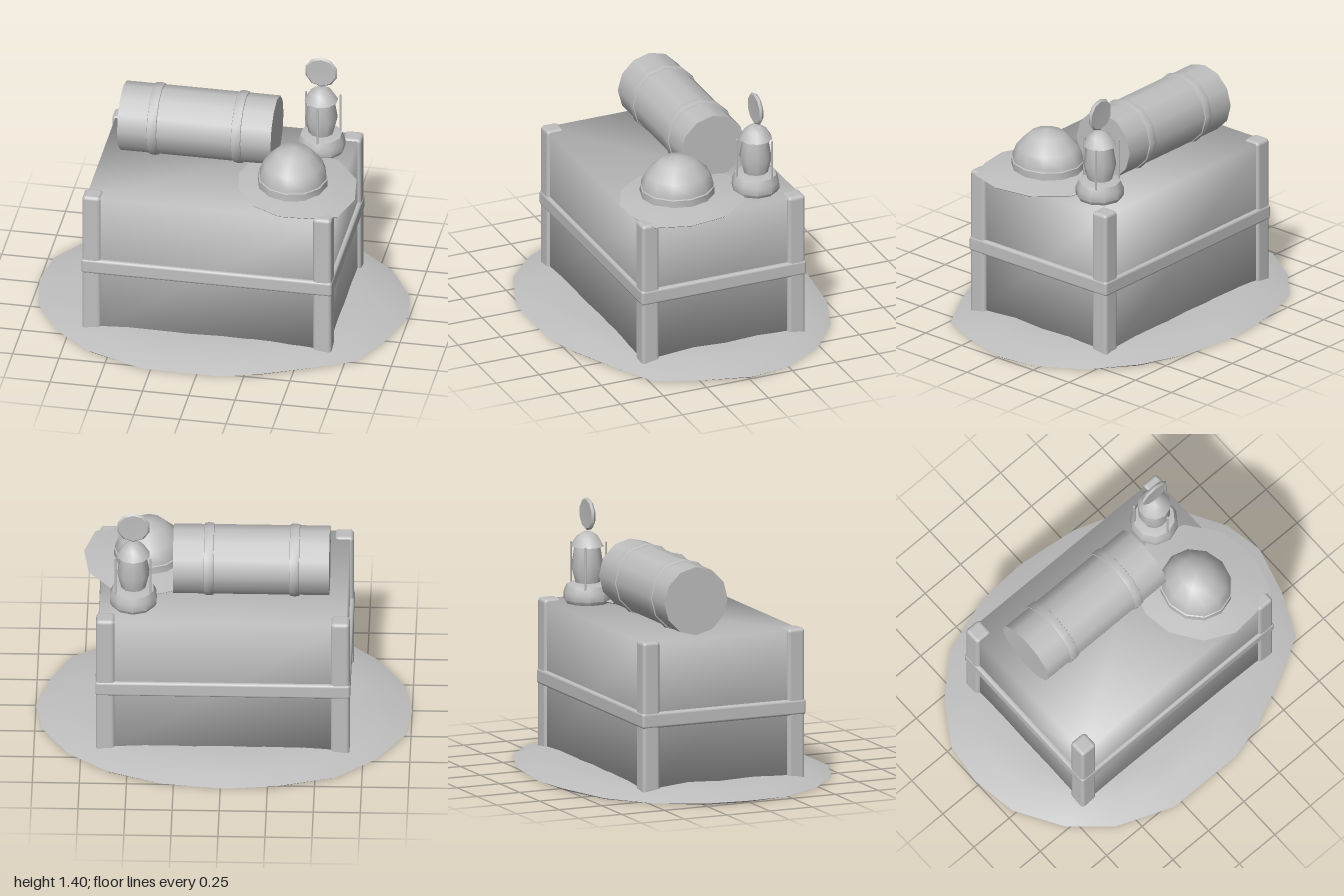
import * as THREE from 'three';
import { mergeVertices, toCreasedNormals } from 'three/addons/utils/BufferGeometryUtils.js';
import { RoundedBoxGeometry } from 'three/addons/geometries/RoundedBoxGeometry.js';

const grey = new THREE.MeshStandardMaterial({ color: 0xbfbfbf, side: THREE.DoubleSide });
grey.name = 'clay grey';

function add(parent, name, geometry, x = 0, y = 0, z = 0) {
  const mesh = new THREE.Mesh(geometry, grey);
  mesh.name = name;
  mesh.position.set(x, y, z);
  parent.add(mesh);
  return mesh;
}

function lathe(profile, sides) {
  const points = profile.map(([r, y]) => new THREE.Vector2(r, y));
  return toCreasedNormals(new THREE.LatheGeometry(points, sides), 0.75);
}

// Box whose normals blend softly across the edges
function softBox(width, height, depth) {
  const box = new THREE.BoxGeometry(width, height, depth);
  box.deleteAttribute('normal');
  box.deleteAttribute('uv');
  const soft = mergeVertices(box);
  soft.clearGroups();
  soft.computeVertexNormals();
  return soft;
}

// Closed sheet from scaled copies of an outline, underside first; rings are [scale, height, wobble]
function sheet(outline, rings) {
  const n = outline.length, positions = [], index = [];
  rings.forEach(([s, y, wobble = 0]) => outline.forEach(([x, z], i) => {
    const lift = wobble * (0.5 + 0.5 * Math.sin(i * 1.9 + s * 7));
    positions.push(x * s, y + lift, z * s);
  }));
  for (let r = 0; r < rings.length - 1; r++) {
    for (let i = 0; i < n; i++) {
      const a = r * n + i, b = r * n + (i + 1) % n;
      index.push(b, a, a + n, b, a + n, b + n);
    }
  }
  const geometry = new THREE.BufferGeometry();
  geometry.setAttribute('position', new THREE.Float32BufferAttribute(positions, 3));
  geometry.setIndex(index);
  return toCreasedNormals(geometry, 0.75);
}

export function createModel() {
  const model = new THREE.Group();
  model.name = 'campCrate';

  // Low uneven mound of ground with a flat underside
  const ground = [
    [-1, -0.02], [-0.97, -0.25], [-0.82, -0.48], [-0.61, -0.67], [-0.3, -0.77],
    [-0.02, -0.79], [0.32, -0.75], [0.6, -0.65], [0.82, -0.47], [0.96, -0.23],
    [1, -0.02], [0.93, 0.24], [0.82, 0.48], [0.59, 0.61], [0.33, 0.73],
    [0.13, 0.78], [-0.3, 0.78], [-0.61, 0.66], [-0.81, 0.48], [-0.96, 0.23],
  ];
  add(model, 'groundMound', sheet(ground, [
    [0, 0], [0.985, 0], [1, 0.002, 0.009], [0.86, 0.034, 0.014],
    [0.7, 0.055, 0.012], [0.4, 0.045, 0.01], [0, 0.04],
  ]));

  // Crate with corner posts and a band round the middle
  const crate = new THREE.Group();
  crate.name = 'crate';
  crate.position.x = -0.005;
  model.add(crate);
  add(crate, 'crateBody', softBox(1.31, 0.833, 0.92), 0, 0.4185, 0);
  add(crate, 'crateBand', new RoundedBoxGeometry(1.355, 0.085, 0.957, 2, 0.015), 0, 0.418, 0);
  for (const sx of [-1, 1]) {
    for (const sz of [-1, 1]) {
      add(crate, 'cornerPost', new RoundedBoxGeometry(0.1, 0.843, 0.1, 2, 0.02), sx * 0.624, 0.4235, sz * 0.424);
    }
  }

  // Rolled bedding lying along x, held by two straps
  const bedroll = new THREE.Group();
  bedroll.name = 'bedroll';
  bedroll.position.set(-0.15, 1.02, -0.113);
  bedroll.rotation.z = Math.PI / 2;
  model.add(bedroll);
  add(bedroll, 'roll', new THREE.CylinderGeometry(0.185, 0.185, 0.83, 12));
  for (const y of [0.23, -0.225]) {
    add(bedroll, 'strap', lathe([
      [0.18, -0.028], [0.191, -0.024], [0.195, 0], [0.191, 0.024], [0.18, 0.028],
    ], 12), 0, y, 0);
  }

  // Wide-brimmed hat, tipped slightly towards the crate's edge
  const hat = new THREE.Group();
  hat.name = 'hat';
  hat.position.set(0.4, 0.845, 0.155);
  hat.rotation.z = -0.03;
  model.add(hat);
  const brim = [
    [-0.3, -0.055], [-0.26, -0.215], [-0.15, -0.325], [0, -0.375], [0.19, -0.31], [0.32, -0.14],
    [0.35, 0.07], [0.295, 0.26], [0.15, 0.315], [-0.01, 0.33], [-0.165, 0.255], [-0.275, 0.1],
  ];
  add(hat, 'hatBrim', sheet(brim, [[0, -0.004], [0.98, -0.002], [1, 0.004], [0.72, 0.017], [0.45, 0.03], [0, 0.03]]));
  const crown = add(hat, 'hatCrown', lathe([
    [0.181, 0.01], [0.181, 0.085], [0.157, 0.145], [0.09, 0.215], [0, 0.24],
  ], 12));
  crown.scale.z = 1.09;
  const band = add(hat, 'hatBand', lathe([
    [0.18, 0.02], [0.188, 0.024], [0.188, 0.066], [0.18, 0.07],
  ], 12));
  band.scale.z = 1.08;

  // Lantern
  const lantern = new THREE.Group();
  lantern.name = 'lantern';
  lantern.position.set(0.475, 0, -0.268);
  model.add(lantern);
  add(lantern, 'lanternBase', lathe([
    [0, 0.832], [0.115, 0.832], [0.13, 0.855], [0.128, 0.895], [0.112, 0.932], [0.08, 0.938], [0, 0.94],
  ], 10));
  add(lantern, 'lanternGlass', lathe([
    [0, 0.938], [0.067, 0.945], [0.088, 1.03], [0.07, 1.135], [0, 1.14],
  ], 10));
  add(lantern, 'lanternCap', lathe([
    [0, 1.14], [0.09, 1.14], [0.06, 1.19], [0.028, 1.213], [0, 1.217],
  ], 10));
  for (let i = 0; i < 3; i++) {
    const a = i * Math.PI * 2 / 3;
    add(lantern, 'guardRod', new THREE.CylinderGeometry(0.006, 0.006, 0.24, 6),
      Math.sin(a) * 0.108, 1.03, Math.cos(a) * 0.108);
  }
  // Flat round handle standing above the cap
  const handle = add(lantern, 'lanternHandle', lathe([
    [0, -0.008], [0.08, -0.011], [0.09, 0], [0.08, 0.011], [0, 0.008],
  ], 10), 0, 1.312, 0);
  handle.rotation.x = Math.PI / 2;

  return model;
}
